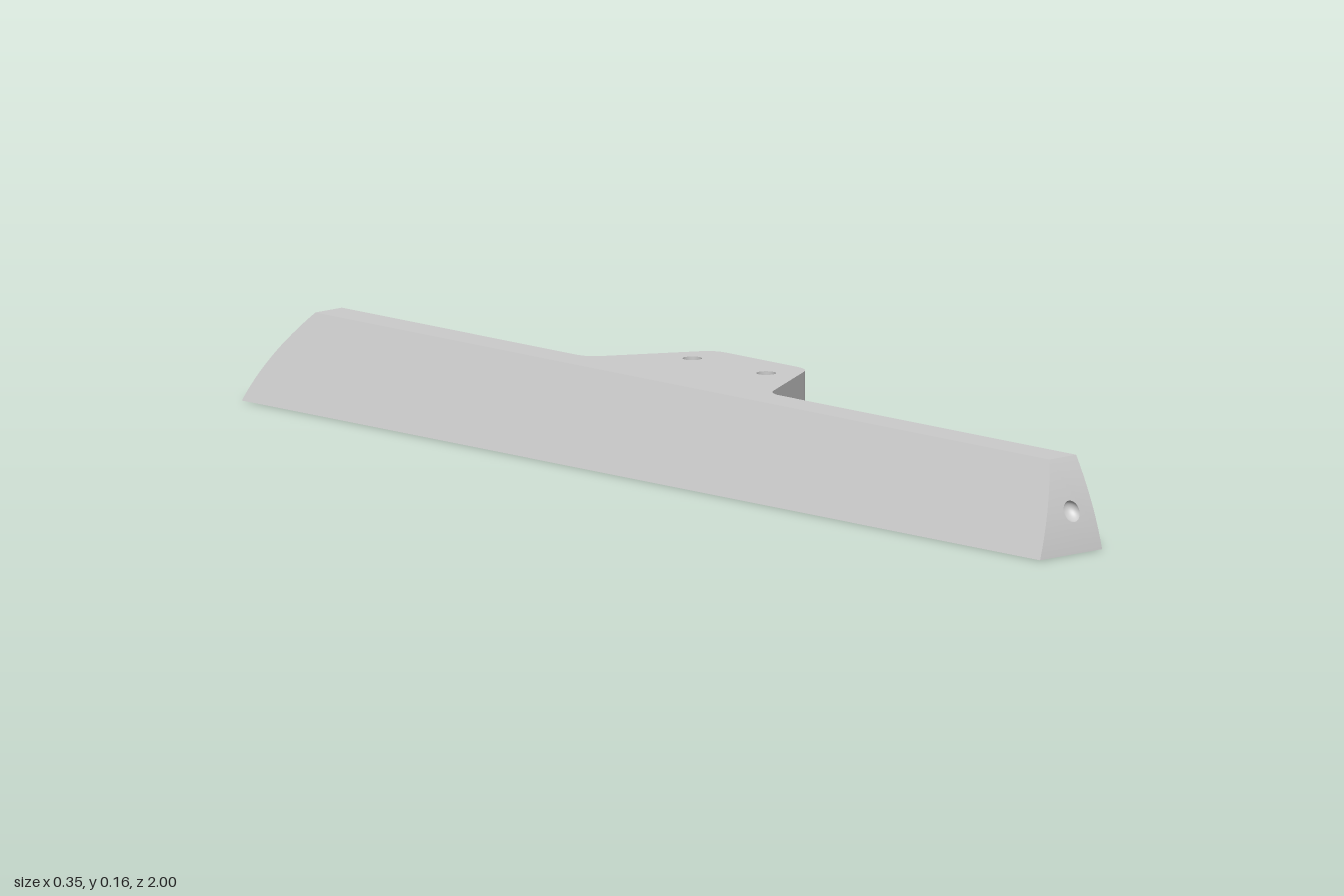
import * as THREE from 'three';

const H = 0.157;                        // overall height
const LEFT = -0.175, RIDGE = -0.09, WALL = -0.027, TAB = 0.173;
const MID = -0.0625;                    // tab centre along z
const HOLE_R = 0.017, HOLES = [[0.095, -0.155], [0.095, 0.03]];
const DIMPLE = { x: -0.078, y: 0.07, r: 0.018 };
const NOTCH = { z: 0.577, y: -0.067, r: 0.137, depth: 0.055 };

// curved ends of the bar and its sloping side
const frontZ = y => { const t = y / H; return 1 - 0.065 * (0.6 * t + 0.4 * t * t); };
const backZ = y => { const t = y / H; return -1 + 0.095 * (0.35 * t + 0.65 * t * t); };
const slopeX = y => LEFT + (RIDGE - LEFT) * y / H;

const V = (a, b) => new THREE.Vector2(a, b);
const steps = (n, fn) => Array.from({ length: n + 1 }, (_, i) => fn(i / n));
const circle = (a, b, r, n = 32) =>
  steps(n - 1, t => { const k = t * 2 * Math.PI * (n - 1) / n; return V(a + r * Math.cos(k), b + r * Math.sin(k)); });

// flat geometry carried onto a surface F(u, v), with exact smooth normals
function surface(name, geo, F) {
  const p = geo.attributes.position, n = geo.attributes.normal, e = 1e-4;
  for (let i = 0; i < p.count; i++) {
    const u = p.getX(i), v = p.getY(i);
    const du = F(u + e, v).sub(F(u - e, v)), dv = F(u, v + e).sub(F(u, v - e));
    const q = F(u, v), m = du.cross(dv).normalize();
    p.setXYZ(i, q.x, q.y, q.z);
    n.setXYZ(i, m.x, m.y, m.z);
  }
  const mesh = new THREE.Mesh(geo, new THREE.MeshStandardMaterial({ color: 0xcccccc }));
  mesh.name = name;
  return mesh;
}
function panel(points, holes = []) {
  const s = new THREE.Shape(points);
  holes.forEach(h => s.holes.push(new THREE.Path(h)));
  return new THREE.ShapeGeometry(s);
}
const grid = (nu, nv) => new THREE.PlaneGeometry(1, 1, nu, nv).translate(0.5, 0.5, 0);
const P = (x, y, z) => new THREE.Vector3(x, y, z);

// tab outline in (x, z), front to back, with rounded corners
function tabPath() {
  const path = new THREE.Path();
  const k = 0.026, c = Math.cos(Math.PI / 6) * k, s = k / 2;
  const inner = 0.229, outer = 0.116;
  path.moveTo(WALL, MID + inner + k);
  path.quadraticCurveTo(WALL, MID + inner, WALL + c, MID + inner - s);
  path.lineTo(TAB - c, MID + outer + s);
  path.quadraticCurveTo(TAB, MID + outer, TAB, MID + outer - k);
  path.lineTo(TAB, MID - outer + k);
  path.quadraticCurveTo(TAB, MID - outer, TAB - c, MID - outer - s);
  path.lineTo(WALL + c, MID - inner + s);
  path.quadraticCurveTo(WALL, MID - inner, WALL, MID - inner - k);
  return path;
}

// conical notch: point on its wall, u along the arc, v inward
function notchPoint(u, v) {
  const r = NOTCH.r - NOTCH.depth * v;
  const a = (2 * u - 1) * Math.acos(-NOTCH.y / r);
  return P(WALL - NOTCH.depth * v, NOTCH.y + r * Math.cos(a), NOTCH.z + r * Math.sin(a));
}

export function createModel() {
  const g = new THREE.Group();
  g.name = 'bracketBar';
  const add = (...a) => g.add(surface(...a));
  const path = tabPath(), tab = path.getSpacedPoints(96);
  const first = tab[0].y, last = tab[tab.length - 1].y;

  // top with two screw holes, in (z, x)
  const topPts = [V(frontZ(H), RIDGE), V(frontZ(H), WALL), ...tab.map(q => V(q.y, q.x)),
    V(backZ(H), WALL), V(backZ(H), RIDGE)];
  add('top', panel(topPts, HOLES.map(([x, z]) => circle(z, x, HOLE_R))), (z, x) => P(x, H, z));

  // underside, cut by the notch, in (x, z)
  const cut = q => V(q.x, q.z);
  const underPts = [V(LEFT, 1), V(WALL, 1),
    ...steps(10, t => cut(notchPoint(1, t))),
    ...steps(10, t => cut(notchPoint(0, 1 - t))),
    ...tab, V(WALL, -1), V(LEFT, -1)];
  add('underside', panel(underPts), (x, z) => P(x, 0, z));

  // sloping side, in (z, y)
  const slopePts = [...steps(16, t => V(frontZ(t * H), t * H)),
    ...steps(16, t => V(backZ((1 - t) * H), (1 - t) * H))];
  add('slopingSide', panel(slopePts), (z, y) => P(slopeX(y), y, z));

  // upright side, two stretches either side of the tab, in (y, z)
  const frontWall = [...steps(16, t => V((1 - t) * H, frontZ((1 - t) * H))),
    ...steps(32, t => { const q = notchPoint(1 - t, 0); return V(q.y, q.z); }),
    V(0, first), V(H, first)];
  const backWall = [V(H, last), V(0, last), ...steps(16, t => V(t * H, backZ(t * H)))];
  add('uprightSideFront', panel(frontWall), (y, z) => P(WALL, y, z));
  add('uprightSideBack', panel(backWall), (y, z) => P(WALL, y, z));

  // tab wall
  add('tabWall', grid(96, 1), (u, v) => {
    const q = path.getPointAt(Math.min(1, Math.max(0, u)));
    return P(q.x, v * H, q.y);
  });

  // curved ends
  const endPts = [...steps(16, t => V(slopeX(t * H), t * H)),
    ...steps(16, t => V(WALL, (1 - t) * H))];
  add('frontEnd', panel(endPts, [circle(DIMPLE.x, DIMPLE.y, DIMPLE.r)]), (x, y) => P(x, y, frontZ(y)));
  add('backEnd', panel(endPts.map(q => V(q.y, q.x))), (y, x) => P(x, y, backZ(y)));

  // round dimple in the front end
  add('frontDimple', grid(32, 10), (u, v) => {
    const a = u * 2 * Math.PI, f = v * 0.995 * Math.PI / 2, r = DIMPLE.r * Math.cos(f);
    const y = DIMPLE.y + r * Math.sin(a);
    return P(DIMPLE.x + r * Math.cos(a), y, frontZ(y) - DIMPLE.r * Math.sin(f));
  });

  // blind screw holes in the tab
  const depth = 0.1;
  HOLES.forEach(([hx, hz]) => {
    add('screwHoleWall', grid(32, 1), (u, v) => {
      const a = -u * 2 * Math.PI;
      return P(hx + HOLE_R * Math.cos(a), H - depth * v, hz + HOLE_R * Math.sin(a));
    });
    add('screwHoleFloor', panel(circle(hz, hx, HOLE_R)), (z, x) => P(x, H - depth, z));
  });

  // conical notch and its flat inner end
  add('notchWall', grid(32, 10), notchPoint);
  const endArc = steps(32, t => { const q = notchPoint(t, 1); return V(q.y, q.z); });
  add('notchEnd', panel(endArc), (y, z) => P(WALL - NOTCH.depth, y, z));

  return g;
}
